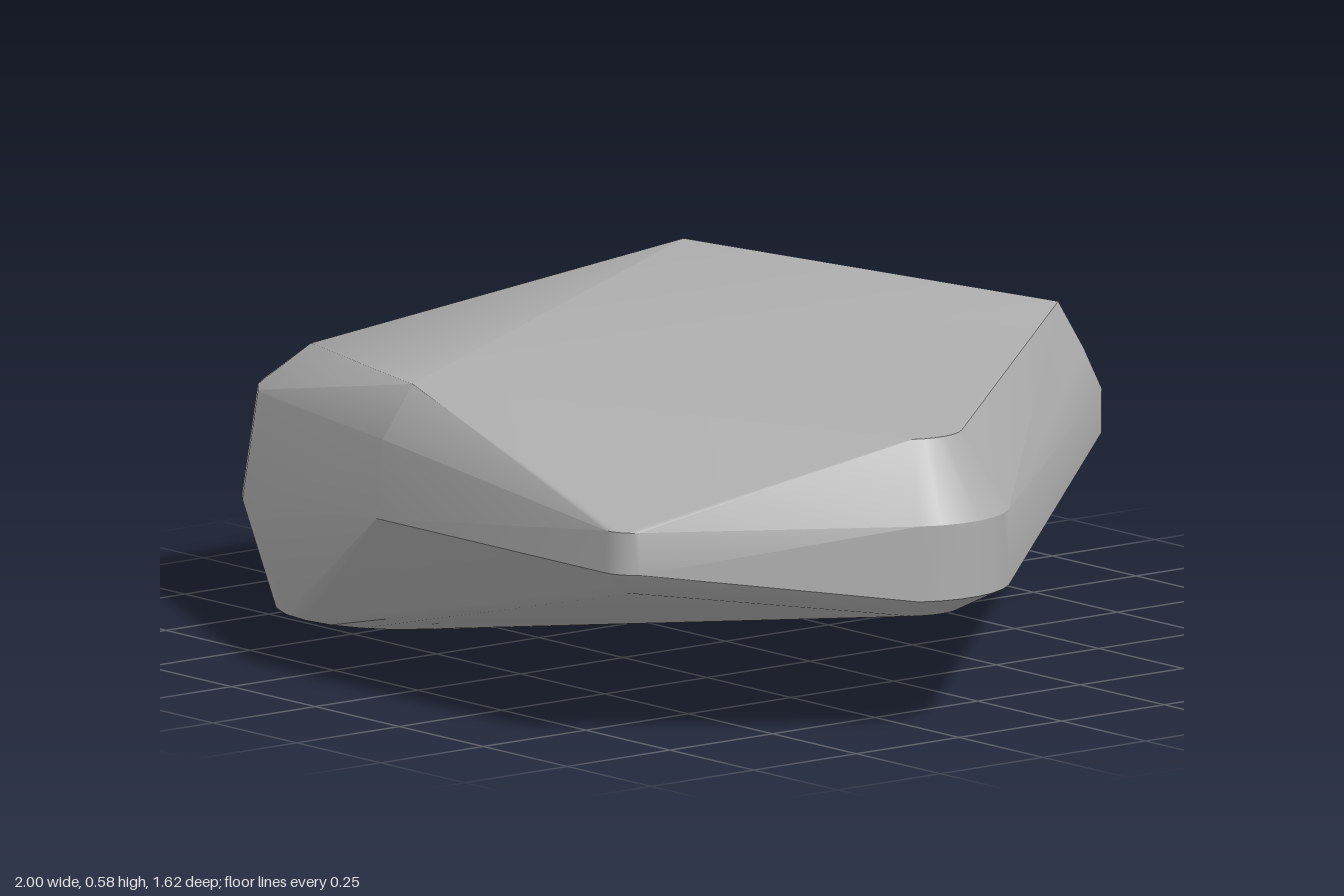
import * as THREE from 'three';
import { ConvexGeometry } from 'three/addons/geometries/ConvexGeometry.js';
import { toCreasedNormals } from 'three/addons/utils/BufferGeometryUtils.js';

// Points on a horizontal arc; angles in degrees, 0 = +x, 90 = +z
function arc(cx, cz, r, y, from, to, steps = 6) {
  return Array.from({ length: steps + 1 }, (_, i) => {
    const a = THREE.MathUtils.degToRad(from + (to - from) * i / steps);
    return new THREE.Vector3(cx + r * Math.cos(a), y, cz + r * Math.sin(a));
  });
}

export function createModel() {
  const stone = new THREE.MeshStandardMaterial({ color: 0xaeaeae });
  stone.name = 'stone grey';
  const points = [];

  // Rounded corners: centre, angle range, then [radius, height] rings
  const corners = [
    { c: [0.80, 0.22], a: [-42, 31], rings: [[0.11, 0.56], [0.2, 0.41], [0.2, 0.265], [0.11, 0.22]] },
    { c: [0.63, 0.74], a: [31, 90], rings: [[0.065, 0.41], [0.07, 0.33], [0.02, 0.285]] },
    { c: [-0.70, 0.22], a: [110, 184], rings: [[0.27, 0.41], [0.3, 0.2], [0.27, 0.1]] },
    { c: [-0.80, -0.55], a: [184, 260], rings: [[0.09, 0.5], [0.12, 0.41], [0.12, 0.33], [0.06, 0.28]] },
    { c: [0.08, -0.69], a: [260, 318], rings: [[0.09, 0.49], [0.125, 0.41], [0.125, 0.33], [0.065, 0.28]] },
  ];
  for (const { c, a, rings } of corners)
    for (const [r, y] of rings) points.push(...arc(c[0], c[1], r, y, a[0], a[1]));

  // Round foot
  points.push(...arc(-0.66, 0.23, 0.255, 0, 0, 345, 23));

  // Sharp points of the top face and the front ridge
  for (const p of [
    [-0.81, 0.58, -0.56], [0.11, 0.58, -0.72], [-0.04, 0.58, 0.73], [-0.82, 0.49, 0.34],
    [-0.05, 0.48, 0.795], [-0.05, 0.33, 0.81], [-0.05, 0.28, 0.76],
  ]) points.push(new THREE.Vector3(...p));

  const rock = new THREE.Mesh(toCreasedNormals(new ConvexGeometry(points), 0.5), stone);
  rock.name = 'rock';
  const group = new THREE.Group();
  group.name = 'flatRock';
  group.add(rock);
  return group;
}
